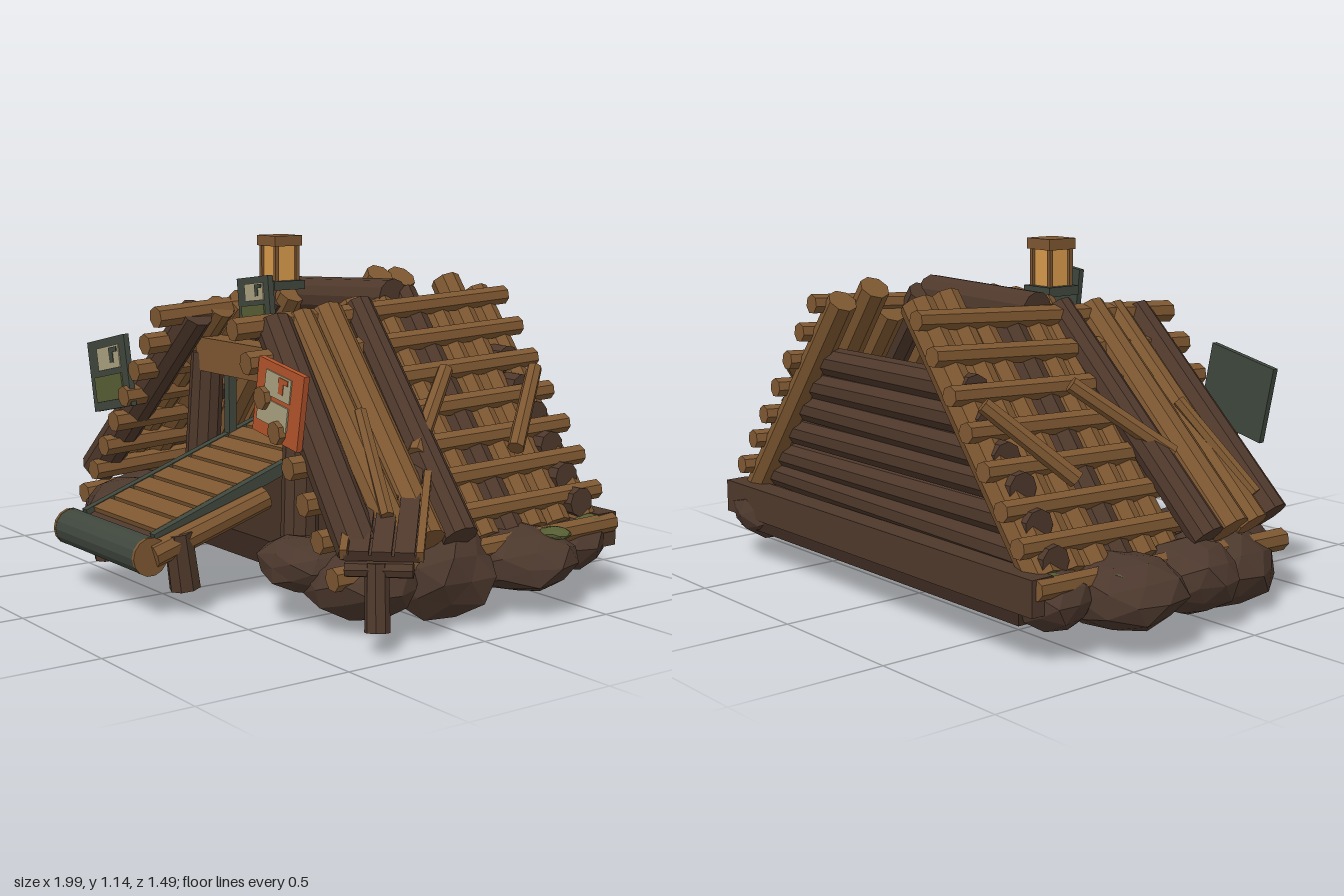
import * as THREE from 'three';

const mat = (name, color) => Object.assign(new THREE.MeshStandardMaterial({ color }), { name });
const V = (x, y, z) => new THREE.Vector3(x, y, z);
const mix = THREE.MathUtils.lerp;

export function createModel() {
  const wood = mat('light wood', 0x7d5731), bark = mat('dark bark', 0x4e382b), rockMat = mat('rock', 0x4c382d);
  const earth = mat('earth floor', 0x3b2a20), metal = mat('dark green metal', 0x3f473d), orange = mat('orange paint', 0xb3532b);
  const glow = mat('amber glow', 0xd7994a), cream = mat('cream paper', 0xaaa07e), moss = mat('moss', 0x565d33);

  const model = new THREE.Group();
  model.name = 'logShelter';
  let seed = 7;
  const rnd = () => (seed = (seed * 16807) % 2147483647) / 2147483647;
  const jit = (a) => (rnd() * 2 - 1) * a;

  const add = (name, geo, m, parent = model) => {
    const g = geo.index ? geo.toNonIndexed() : geo;
    g.computeVertexNormals();
    const mesh = new THREE.Mesh(g, m);
    mesh.name = name;
    parent.add(mesh);
    return mesh;
  };
  const box = (name, w, h, d, x, y, z, m, parent) => {
    const b = add(name, new THREE.BoxGeometry(w, h, d), m, parent);
    b.position.set(x, y, z);
    return b;
  };
  // round log between two points
  const log = (name, a, b, r, m, sides = 9, taper = 0.92) => {
    const dir = b.clone().sub(a);
    const mesh = add(name, new THREE.CylinderGeometry(r * taper, r, dir.length(), sides), m);
    mesh.position.copy(a).add(b).multiplyScalar(0.5);
    mesh.quaternion.setFromUnitVectors(V(0, 1, 0), dir.normalize());
  };
  // lumpy faceted boulder
  const boulder = (name, x, y, z, sx, sy, sz, m) => {
    const g = new THREE.IcosahedronGeometry(1, 1), p = g.attributes.position, v = V(0, 0, 0);
    for (let i = 0; i < p.count; i++) {
      v.fromBufferAttribute(p, i);
      const k = 0.96 + 0.09 * Math.sin(v.x * 5.3 + x * 9) * Math.cos(v.z * 4.1 + z * 7 + v.y * 3);
      p.setXYZ(i, v.x * k, v.y * k, v.z * k);
    }
    const mesh = add(name, g, m);
    mesh.scale.set(sx, sy, sz);
    mesh.position.set(x, y, z);
  };

  // floor and rear sill
  box('floorSlab', 1.5, 0.08, 0.98, 0, 0.16, -0.22, earth);
  box('rearSill', 1.64, 0.11, 0.08, 0, 0.215, -0.68, bark);
  boulder('floorStone', 0, 0.135, -0.1, 0.12, 0.025, 0.09, rockMat);

  // boulder ring: x, y, z, and half sizes
  [[-0.8, 0.17, -0.36, 0.21, 0.12, 0.19], [-0.8, 0.16, -0.08, 0.16, 0.12, 0.17], [-0.75, 0.18, -0.58, 0.12, 0.1, 0.13],
    [-0.7, 0.135, 0.15, 0.2, 0.135, 0.2], [-0.53, 0.18, 0.3, 0.22, 0.1, 0.18],
    [0.76, 0.16, -0.35, 0.2, 0.11, 0.2], [0.72, 0.15, -0.05, 0.18, 0.155, 0.19], [0.7, 0.17, -0.6, 0.16, 0.1, 0.15],
    [0.66, 0.14, 0.2, 0.21, 0.11, 0.18], [0.5, 0.18, 0.3, 0.17, 0.09, 0.13]]
    .forEach((r) => boulder('boulder', ...r, rockMat));
  for (const s of [-1, 1]) {
    boulder('mossPatch', s * 0.85, 0.245, -0.42, 0.06, 0.02, 0.05, moss);
    boulder('mossPatch', s * 0.78, 0.25, -0.63, 0.06, 0.02, 0.05, moss);
  }

  // rear wall of stacked logs
  for (let i = 0; i < 6; i++) {
    const y = 0.3 + 0.086 * i, w = 0.26 + 0.54 * (0.93 - y) / 0.65;
    log('rearWallLog', V(-w, y + jit(0.01), -0.6), V(w, y + jit(0.01), -0.6), 0.052, bark);
  }

  // leaning sides: t runs from eave top (0) to ground (1), widening to the rear
  const slope = (s, t, z, off = 0) => {
    const u = (0.37 - z) / 1.07;
    const x = mix(mix(s < 0 ? 0.245 : 0.22, 0.27, u), mix(s < 0 ? 0.77 : 0.745, 0.81, u), t);
    return V(s * (x + off * 0.79), mix(mix(0.875, 0.93, u), mix(0.19, 0.23, u), t) + off * 0.61, z);
  };
  for (const s of [-1, 1]) {
    // inner upright logs under the lattice, one of them dark
    for (let i = 0; i < 6; i++) {
      const z = -0.63 + i * 0.1;
      log('sideLog', slope(s, 0.95, z + jit(0.012), -0.035), slope(s, -0.06 + jit(0.07), z + jit(0.02), -0.035),
        0.056 + jit(0.006), i === 3 ? bark : wood, 8);
    }
    // lengthwise lattice poles
    for (let i = 0; i < 8; i++)
      log('latticePole', slope(s, i / 7, 0.37), slope(s, i / 7 + jit(0.006), -0.705, 0.01), 0.037, wood, 7, 0.86);
    // heavy front logs: foot x, z at foot, z at top, top height, radius
    [[0.78, 0.3, 0.22, 0.885, 0.066, bark], [0.82, 0.18, 0.12, 0.9, 0.054, wood],
      [0.82, 0.08, 0.02, 0.91, 0.064, wood], [0.84, -0.04, -0.11, 0.925, 0.056, bark]].forEach(([xb, zb, zt, y, r, m]) =>
      log('heavyLeaningLog', V(s * xb, 0.28, zb), V(s * 0.23, y, zt), r, m, 10));
    // loose braces lying over the lattice
    log('looseBrace', slope(s, 0.64, -0.02, 0.09), slope(s, 0.32, -0.28, 0.07), 0.028, wood, 7);
    log('looseBrace', slope(s, 0.67, -0.42, 0.06), slope(s, 0.36, -0.64, 0.06), 0.028, wood, 7);
    log('looseBrace', V(s * 0.8, 0.37, 0.21), V(s * 0.55, 0.64, 0.12), 0.022, wood, 6);
  }

  // ridge beam
  log('ridgeBeam', V(-0.26, 0.92, -0.22), V(0.22, 0.94, -0.27), 0.066, bark, 12, 1);

  // doorway
  for (const [a, b] of [[-0.325, -0.3], [0.275, 0.26]])
    log('doorPost', V(a, 0.2, 0.15), V(b, 0.74, 0.13), 0.062, bark, 10);
  box('lintel', 0.55, 0.115, 0.1, -0.02, 0.738, 0.13, wood);

  // glowing housing behind the ramp
  box('housingBack', 0.42, 0.4, 0.03, -0.02, 0.5, -0.34, metal);
  for (const x of [-0.235, 0.195]) {
    box('housingSide', 0.025, 0.36, 0.2, x, 0.48, -0.22, metal);
    box('doorFrameBar', 0.03, 0.4, 0.03, x, 0.48, 0.08, metal);
  }
  box('glowPanel', 0.4, 0.1, 0.02, -0.02, 0.565, -0.13, glow);
  box('housingHeader', 0.42, 0.06, 0.03, -0.02, 0.65, -0.13, metal);
  for (let i = 0; i < 8; i++) {
    box('hangingStrip', 0.034, 0.07, 0.012, -0.195 + i * 0.05, 0.645, -0.105, metal);
    boulder('mossTuft', -0.195 + i * 0.05, 0.665, -0.315, 0.024, 0.02, 0.02, moss);
  }

  // entrance ramp
  const ramp = new THREE.Group();
  ramp.name = 'entranceRamp';
  ramp.position.set(-0.02, 0.375, 0.27);
  ramp.rotation.x = Math.atan2(0.28, 0.78);
  model.add(ramp);
  box('rampBelt', 0.42, 0.02, 0.82, 0, -0.018, 0, metal, ramp);
  box('rampDeck', 0.41, 0.012, 0.84, 0, -0.003, 0.01, bark, ramp);
  for (let i = 0; i < 10; i++) box('rampSlat', 0.4, 0.022, 0.066, 0, 0.01, -0.38 + i * 0.08, wood, ramp);
  for (const x of [-0.218, 0.218]) box('rampEdge', 0.028, 0.04, 0.8, x, 0.002, 0, metal, ramp);
  for (const x of [-0.262, 0.222]) {
    log('rampRail', V(x, 0.2, 0.67), V(x, 0.33, 0.25), 0.042, wood);
    log('rampStilt', V(x, 0.08, 0.55), V(x, 0.26, 0.575), 0.05, bark, 8);
  }
  log('rampRoller', V(-0.272, 0.2, 0.682), V(0.228, 0.2, 0.682), 0.06, metal, 14, 1);
  for (const x of [-0.278, 0.234]) log('rollerCap', V(x - 0.006, 0.2, 0.682), V(x + 0.006, 0.2, 0.682), 0.061, wood, 14, 1);

  // side plank ramp with its prop
  const a = V(0.9, 0.285, 0.31), b = V(0.6, 0.47, 0.03);
  const axis = a.clone().sub(b), len = axis.length();
  const side = new THREE.Group();
  side.name = 'sidePlankRamp';
  side.position.copy(a).add(b).multiplyScalar(0.5);
  const zAx = axis.normalize(), xAx = V(0, 1, 0).cross(zAx).normalize();
  side.quaternion.setFromRotationMatrix(new THREE.Matrix4().makeBasis(xAx, zAx.clone().cross(xAx), zAx));
  model.add(side);
  box('sidePlankBase', 0.22, 0.02, len, 0, -0.01, 0, bark, side);
  for (const x of [-0.066, 0, 0.066]) box('sidePlank', 0.058, 0.016, len, x, 0.006, 0, bark, side);
  for (const x of [-0.11, 0.11]) box('sidePlankEdge', 0.022, 0.035, len, x, 0, 0, wood, side);
  log('sideRampProp', V(0.91, 0.065, 0.33), V(0.88, 0.26, 0.31), 0.038, bark, 8);
  log('sideRampCrossbar', V(0.96, 0.245, 0.24), V(0.82, 0.24, 0.38), 0.025, bark, 7);

  // painted boards; panels given as [x, y, w, h, material] in fractions of the board
  const board = (name, x, y, z, w, h, rot, base, panels) => {
    const g = new THREE.Group();
    g.name = name;
    g.position.set(x, y, z);
    g.rotation.z = rot;
    model.add(g);
    box('boardBacking', w, h, 0.02, 0, 0, 0, base, g);
    panels.forEach(([px, py, pw, ph, m], i) =>
      box('boardPanel', w * pw, h * ph, 0.006, w * px, h * py, 0.011 + 0.001 * i, m, g));
  };
  const green = [[0.05, 0.22, 0.58, 0.32, cream], [-0.02, -0.2, 0.72, 0.36, moss],
    [0.14, 0.24, 0.1, 0.2, metal], [0.2, 0.32, 0.2, 0.07, metal]];
  board('leftBoard', -0.596, 0.647, 0.345, 0.27, 0.25, 0.21, metal, green);
  board('topBoard', 0.075, 0.935, 0.18, 0.18, 0.175, 0.13, metal, green);
  board('orangeBoard', 0.44, 0.67, 0.34, 0.24, 0.235, -0.17, orange,
    [[-0.02, 0.22, 0.56, 0.32, cream], [-0.08, -0.16, 0.66, 0.32, cream],
      [0.06, 0.24, 0.1, 0.2, orange], [0.1, 0.32, 0.2, 0.07, orange]]);

  // lantern
  const lx = -0.155, lz = -0.07;
  box('lanternBase', 0.125, 0.03, 0.125, lx, 0.972, lz, metal);
  box('lanternGlass', 0.08, 0.12, 0.08, lx, 1.047, lz, glow);
  for (const i of [-1, 1]) for (const j of [-1, 1])
    box('lanternPost', 0.014, 0.12, 0.014, lx + i * 0.042, 1.047, lz + j * 0.042, wood);
  box('lanternCap', 0.11, 0.035, 0.11, lx, 1.122, lz, wood);
  return model;
}
